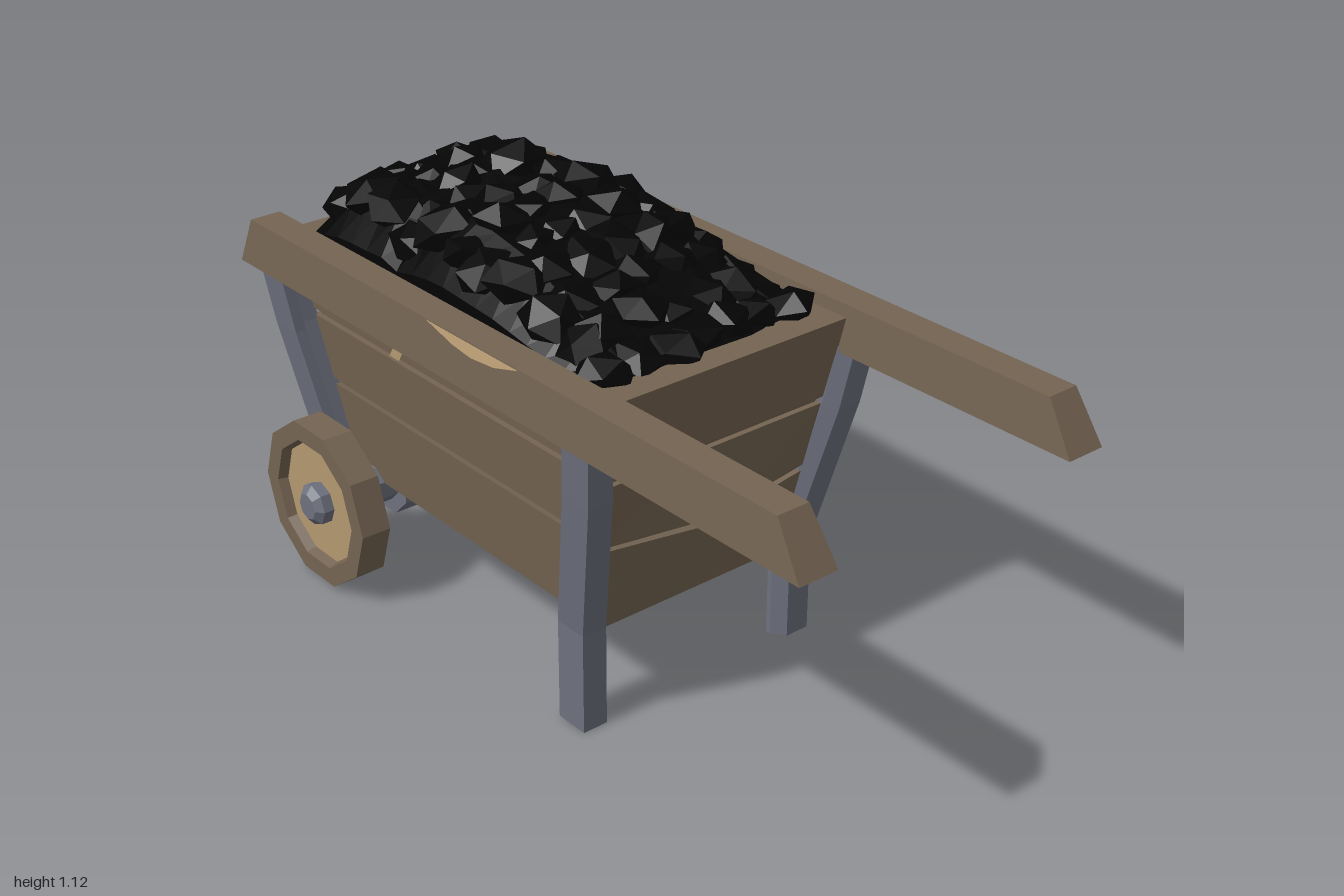
import * as THREE from 'three';
import { mergeGeometries } from 'three/addons/utils/BufferGeometryUtils.js';

const mat = (name, color) => {
  const m = new THREE.MeshStandardMaterial({ color });
  m.name = name;
  return m;
};

// Faceted copy of a geometry
function flat(geo) {
  const g = geo.index ? geo.toNonIndexed() : geo;
  g.computeVertexNormals();
  return g;
}

// Move every vertex by a rule
function warp(geo, rule) {
  const p = geo.attributes.position, v = new THREE.Vector3();
  for (let i = 0; i < p.count; i++) {
    v.fromBufferAttribute(p, i);
    rule(v);
    p.setXYZ(i, v.x, v.y, v.z);
  }
  return flat(geo);
}

// Linear interpolation in a table of [x, y] points
function sample(table, x) {
  let i = 1;
  while (i < table.length - 1 && table[i][0] < x) i++;
  const [x0, y0] = table[i - 1], [x1, y1] = table[i];
  return THREE.MathUtils.lerp(y0, y1, THREE.MathUtils.clamp((x - x0) / (x1 - x0), 0, 1));
}

const MID = -0.29; // centre of the tub along x
const halfX = y => 0.505 + 0.12 * (y - 0.24) / 0.63;
const halfZ = y => 0.277 + 0.066 * (y - 0.24) / 0.63;

export function createModel() {
  const wood = mat('darkWood', 0x746452), pale = mat('paleWood', 0xb3986f);
  const iron = mat('greyIron', 0x6d707e), black = mat('coalBlack', 0x040404);
  const model = new THREE.Group();
  const add = (name, geo, material, parent = model) => {
    const m = new THREE.Mesh(geo, material);
    m.name = name;
    parent.add(m);
    return m;
  };

  // Tub: one tapered slab per plank row around a recessed core; sag bends the split row in the middle
  const slab = ([y0, inset0, sag0], [y1, inset1, sag1]) =>
    warp(new THREE.BoxGeometry(2, 2, 2, 1, 1, 2), v => {
      const [y, inset, sag] = v.y > 0 ? [y1, inset1, sag1] : [y0, inset0, sag0];
      const centre = Math.abs(v.z) < 0.1;
      v.set(MID + v.x * (halfX(y) - inset), y - (centre ? sag : 0), v.z * (halfZ(y) - inset));
    });
  add('tubCore', slab([0.26, 0.015, 0], [0.85, 0.015, 0]), wood);
  add('lowerPlanks', slab([0.24, 0, 0], [0.468, 0, 0.043]), wood);
  add('middlePlanks', slab([0.485, 0, 0.043], [0.65, 0, 0]), wood);
  add('upperPlanks', slab([0.668, 0, 0], [0.872, 0, 0]), wood);
  add('upperPlankLip', slab([0.65, 0.02, 0], [0.668, 0, 0]), wood);

  // Bent angle-iron posts hugging the tub corners: [y, x offset from tub centre, z centre]
  const rows = [[0, 0.485, 0.308], [0.26, 0.485, 0.308], [0.64, 0.575, 0.36], [0.8, 0.6, 0.378]];
  // Cross-section as a 3 x 3 grid of [x, z], inner row first, tub side first
  const section = [
    [[0, 0.012], [-0.004, -0.046], [0.01, -0.046]],
    [[-0.045, 0.016], [0.004, 0.014], [0.045, -0.022]],
    [[-0.045, 0.045], [0, 0.045], [0.045, 0.045]]];
  for (const sx of [1, -1]) for (const sz of [1, -1]) {
    const geo = warp(new THREE.BoxGeometry(2, 3, 2, 2, 3, 2), v => {
      const [y, cx, cz] = rows[Math.round(v.y + 1.5)];
      const [dx, dz] = section[Math.round(v.z * sz) + 1][Math.round(v.x * sx) + 1];
      v.set(MID + sx * (cx + dx), sx < 0 ? Math.max(y, 0.2) : y, sz * (cz + dz) + (sz < 0 ? 0.006 : 0));
    });
    add(sx > 0 ? 'leg' : 'wheelPost', geo, iron);
  }

  // Handle rails with slanted ends
  for (const z of [0.386, -0.379]) {
    add('handleRail', warp(new THREE.BoxGeometry(2, 2, 2), v => {
      const top = v.y > 0;
      const x = v.x > 0 ? (top ? 0.925 : 1) : (top ? -0.955 : -1);
      v.set(x, top ? 0.903 : 0.785, z + v.z * (top ? 0.041 : 0.051));
    }), wood);
  }

  // Pale splinter marks, tilted slightly upward just over the surface
  const chip = (name, pts, depth, side) => {
    const shape = new THREE.Shape(pts.map(([x, y]) => new THREE.Vector2(x * side, y)));
    const m = add(name, warp(new THREE.ShapeGeometry(shape), v => { v.z = depth(v.y); }), pale);
    if (side < 0) m.rotation.y = Math.PI;
  };
  const railFace = y => 0.43 + 0.35 * (0.902 - y);
  chip('railChip', [[-0.21, 0.902], [-0.1, 0.882], [-0.03, 0.876], [0.05, 0.882], [0.13, 0.902]], railFace, 1);
  chip('frontSplinter', [[-0.51, 0.672], [-0.47, 0.672], [-0.4, 0.79], [-0.435, 0.79]], () => halfZ(0.79) + 0.002, 1);
  chip('backSplinter', [[-0.045, 0.65], [0, 0.565], [0.045, 0.65]], () => halfZ(0.65) + 0.002, -1);

  // Ten-sided wheels with a sunken pale disc and iron hub cap
  const lathe = (pts, n) => {
    const g = new THREE.LatheGeometry(pts.map(p => new THREE.Vector2(...p)), n, Math.PI / 2);
    return flat(g.rotateX(Math.PI / 2));
  };
  const AX = -0.712, AY = 0.22;
  for (const s of [1, -1]) {
    const wheel = new THREE.Group();
    wheel.name = 'wheel';
    wheel.position.set(AX, AY, 0);
    if (s < 0) wheel.rotation.y = Math.PI;
    add('wheelRim', lathe([[0, 0.375], [0.22, 0.375], [0.22, 0.455], [0.17, 0.455], [0.16, 0.425]], 10), wood, wheel);
    add('wheelDisc', lathe([[0.165, 0.43], [0, 0.43]], 10), pale, wheel);
    add('hubCap', lathe([[0.055, 0.42], [0.055, 0.458], [0.035, 0.475], [0, 0.475]], 8), iron, wheel);
    model.add(wheel);
  }

  // Axle and its collars
  const rod = (r, len, z) => flat(new THREE.CylinderGeometry(r, r, len, 8)
    .rotateY(Math.PI / 8).rotateX(Math.PI / 2).translate(AX, AY, z));
  add('axle', rod(0.057, 0.8, 0), iron);
  for (const s of [1, -1]) add('axleCollar', rod(0.095, 0.085, s * 0.197), iron);

  // Coal heap: a mound covered in seeded lumps
  const ridge = [[-0.86, 0.92], [-0.8, 1.0], [-0.7, 1.07], [-0.62, 1.06], [-0.55, 1.09], [-0.46, 1.02],
    [-0.4, 1.09], [-0.3, 1.11], [-0.1, 1.07], [0, 1.02], [0.1, 0.98], [0.2, 0.93], [0.3, 0.88]];
  const across = [[-0.34, 0.33], [-0.27, 0.45], [-0.24, 0.72], [-0.16, 0.82], [-0.13, 1], [0.1, 0.9],
    [0.25, 0.87], [0.3, 0.6], [0.34, 0.15]];
  const height = (x, z) => 0.87 + (sample(ridge, x) - 0.87) * sample(across, z);
  let seed = 7;
  const rand = () => (seed = (seed * 16807) % 2147483647) / 2147483647;
  const mound = warp(new THREE.BoxGeometry(1.12, 2, 0.65, 18, 1, 12), v => {
    v.x += -0.29;
    v.y = v.y > 0 ? height(v.x, v.z) - 0.025 : 0.86;
  });
  add('coalMound', mound, black);
  const lumps = [];
  for (let i = 0; i < 11; i++) for (let j = 0; j < 7; j++) {
    const x = -0.785 + i * 0.1 + (rand() - 0.5) * 0.04;
    const z = -0.27 + j * 0.088 + (rand() - 0.5) * 0.03;
    const g = new THREE.IcosahedronGeometry(0.06 + rand() * 0.014, 0);
    g.scale(1.05 + rand() * 0.2, 0.75, 1 + rand() * 0.15);
    g.rotateX(rand() - 0.5).rotateZ(rand() - 0.5).rotateY(rand() * 6.28);
    g.translate(x, Math.max(height(x, z) - 0.045 + (rand() - 0.5) * 0.025, 0.875), z);
    lumps.push(flat(g));
  }
  add('coalLumps', mergeGeometries(lumps), black);

  return model;
}
